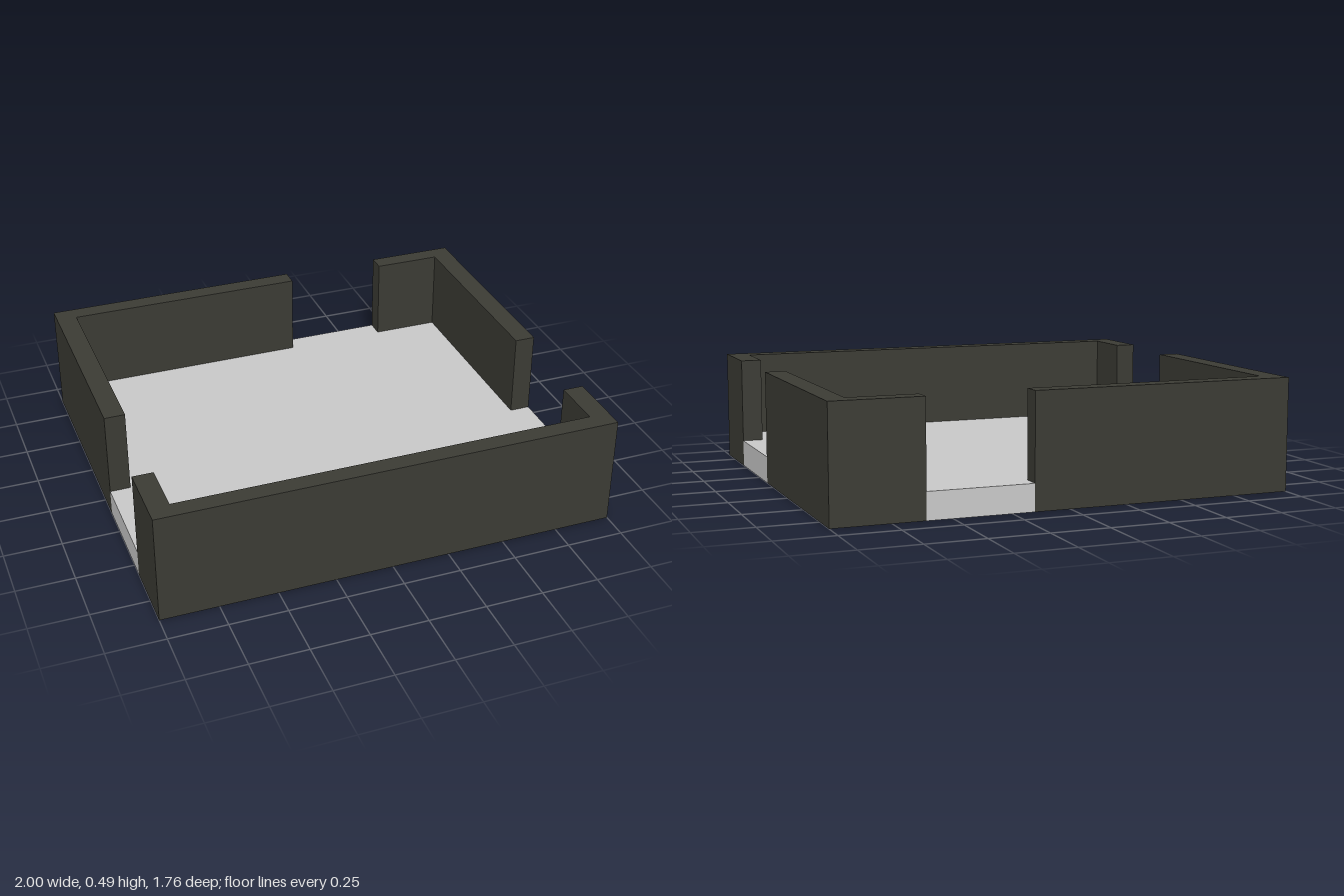
import * as THREE from 'three';

const X = 1, Z = 0.88;            // outer half extents
const IX = 0.91, IZ = 0.8;        // inner faces of the walls
const WALL_H = 0.487, FLOOR_H = 0.116;
const SIDE = [0.11, 0.568];       // side doorways along z
const BACK = [0.155, 0.61];       // back doorway along x

// Extrudes a plan outline of [x, z] points upward from y = 0
function slab(name, plan, height, material) {
  const shape = new THREE.Shape(plan.map(([x, z]) => new THREE.Vector2(x, -z)));
  const geometry = new THREE.ExtrudeGeometry(shape, { depth: height, bevelEnabled: false });
  geometry.rotateX(-Math.PI / 2);
  const mesh = new THREE.Mesh(geometry, material);
  mesh.name = name;
  return mesh;
}

export function createModel() {
  const wallMat = new THREE.MeshStandardMaterial({ color: 0x3b3b34 });
  wallMat.name = 'dark wall';
  const floorMat = new THREE.MeshStandardMaterial({ color: 0xc9c9c9 });
  floorMat.name = 'light grey floor';

  const model = new THREE.Group();
  model.name = 'room';

  // Front wall with its two short returns
  model.add(slab('frontWall', [
    [-X, SIDE[1]], [-IX, SIDE[1]], [-IX, IZ], [IX, IZ],
    [IX, SIDE[1]], [X, SIDE[1]], [X, Z], [-X, Z],
  ], WALL_H, wallMat));

  // L-shaped back corners, ending at the back doorway
  for (const [s, name, end] of [[-1, 'backRightWall', BACK[0]], [1, 'backLeftWall', BACK[1]]]) {
    model.add(slab(name, [
      [s * X, -Z], [end, -Z], [end, -IZ], [s * IX, -IZ], [s * IX, SIDE[0]], [s * X, SIDE[0]],
    ], WALL_H, wallMat));
  }

  // Floor fills the room and reaches out through the three doorways
  model.add(slab('floor', [
    [-IX, IZ], [IX, IZ],
    [IX, SIDE[1]], [X, SIDE[1]], [X, SIDE[0]], [IX, SIDE[0]],
    [IX, -IZ], [BACK[1], -IZ], [BACK[1], -Z], [BACK[0], -Z], [BACK[0], -IZ], [-IX, -IZ],
    [-IX, SIDE[0]], [-X, SIDE[0]], [-X, SIDE[1]], [-IX, SIDE[1]],
  ], FLOOR_H, floorMat));

  return model;
}
